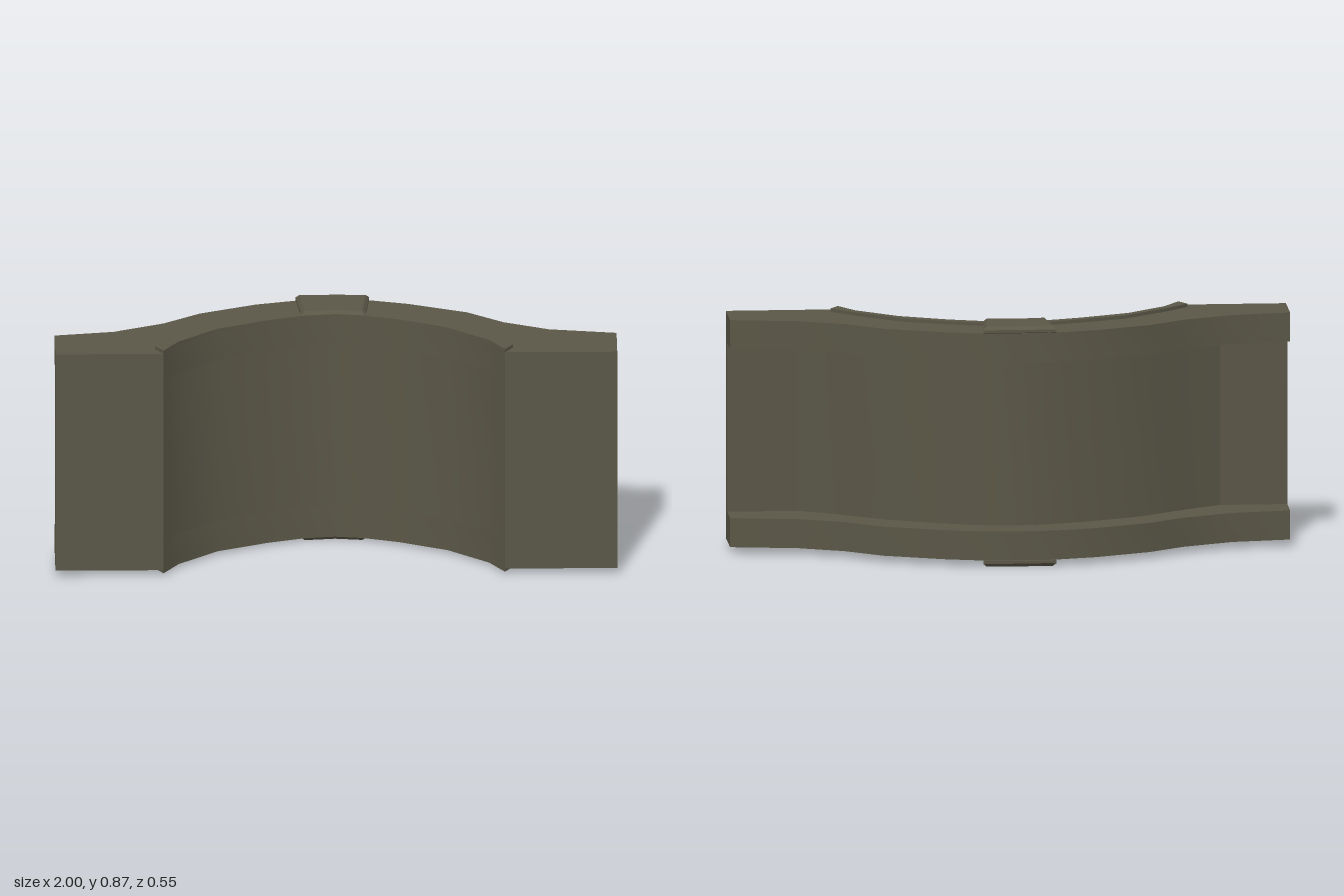
import * as THREE from 'three';
import { toCreasedNormals } from 'three/addons/utils/BufferGeometryUtils.js';

const material = new THREE.MeshStandardMaterial({ color: 0x5a5747 });
const MIRROR = 0.87; // bottom parts sit at MIRROR - y

// Plan outlines as [x, z], running from -x to +x
const front = [
  [-0.615, 0.275], [-0.56, 0.18], [-0.42, 0.05], [-0.24, -0.035], [-0.11, -0.08], [0, -0.095],
  [0.1, -0.08], [0.23, -0.035], [0.4, 0.05], [0.545, 0.18], [0.6, 0.275],
];
const flangeBack = [
  [-1, 0.08], [-0.79, 0.045], [-0.61, -0.04], [-0.48, -0.14], [-0.28, -0.23], [-0.13, -0.27], [0, -0.275],
  [0.12, -0.27], [0.26, -0.23], [0.47, -0.14], [0.6, -0.035], [0.76, 0.04], [1, 0.08],
];
const webBack = [
  [-1, 0.213], [-0.76, 0.212], [-0.69, 0.17], [-0.59, 0.1], [-0.46, 0], [-0.265, -0.092], [-0.12, -0.14], [0, -0.157],
  [0.115, -0.14], [0.255, -0.092], [0.44, 0], [0.575, 0.1], [0.675, 0.17], [0.745, 0.212], [1, 0.213],
];
const rimBack = [
  [-0.645, 0.225], [-0.56, 0.135], [-0.405, 0], [-0.24, -0.07], [-0.12, -0.113], [0, -0.13],
  [0.11, -0.113], [0.23, -0.07], [0.39, 0], [0.545, 0.135], [0.63, 0.225],
];
const keyOutline = [
  [-0.138, -0.27], [0, -0.275], [0.124, -0.27], [0.108, -0.08], [0, -0.095], [-0.118, -0.08],
];

// Plan outline raised from y0 to y1, optionally with bevelled ends
function slab(name, outline, y0, y1, bevel = 0) {
  const shape = new THREE.Shape(outline.map(([x, z]) => new THREE.Vector2(x, -z)));
  let geo = new THREE.ExtrudeGeometry(shape, {
    depth: y1 - y0 - 2 * bevel,
    bevelEnabled: bevel > 0,
    bevelThickness: bevel, bevelSize: bevel, bevelOffset: -bevel, bevelSegments: 1,
  });
  geo.rotateX(-Math.PI / 2).translate(0, y0 + bevel, 0);
  geo = toCreasedNormals(geo, 0.5);
  const mesh = new THREE.Mesh(geo, material);
  mesh.name = name;
  return mesh;
}

export function createModel() {
  const group = new THREE.Group();
  group.name = 'archedChannel';

  const frontReversed = [...front].reverse();
  const footed = (back) => [...back, [1, 0.275], ...frontReversed, [-1, 0.275]];

  // Thin curved wall between the flanges
  group.add(slab('web', footed(webBack), 0.13, 0.74));

  // Flange, raised rim and bevelled centre block, above and below
  const parts = [
    ['Flange', footed(flangeBack), 0.74, 0.845, 0],
    ['Rim', [...rimBack, ...frontReversed], 0.845, 0.857, 0],
    ['CentreBlock', keyOutline, 0.835, 0.869, 0.012],
  ];
  for (const [name, outline, y0, y1, bevel] of parts) {
    group.add(slab('upper' + name, outline, y0, y1, bevel));
    group.add(slab('lower' + name, outline, MIRROR - y1, MIRROR - y0, bevel));
  }
  return group;
}
